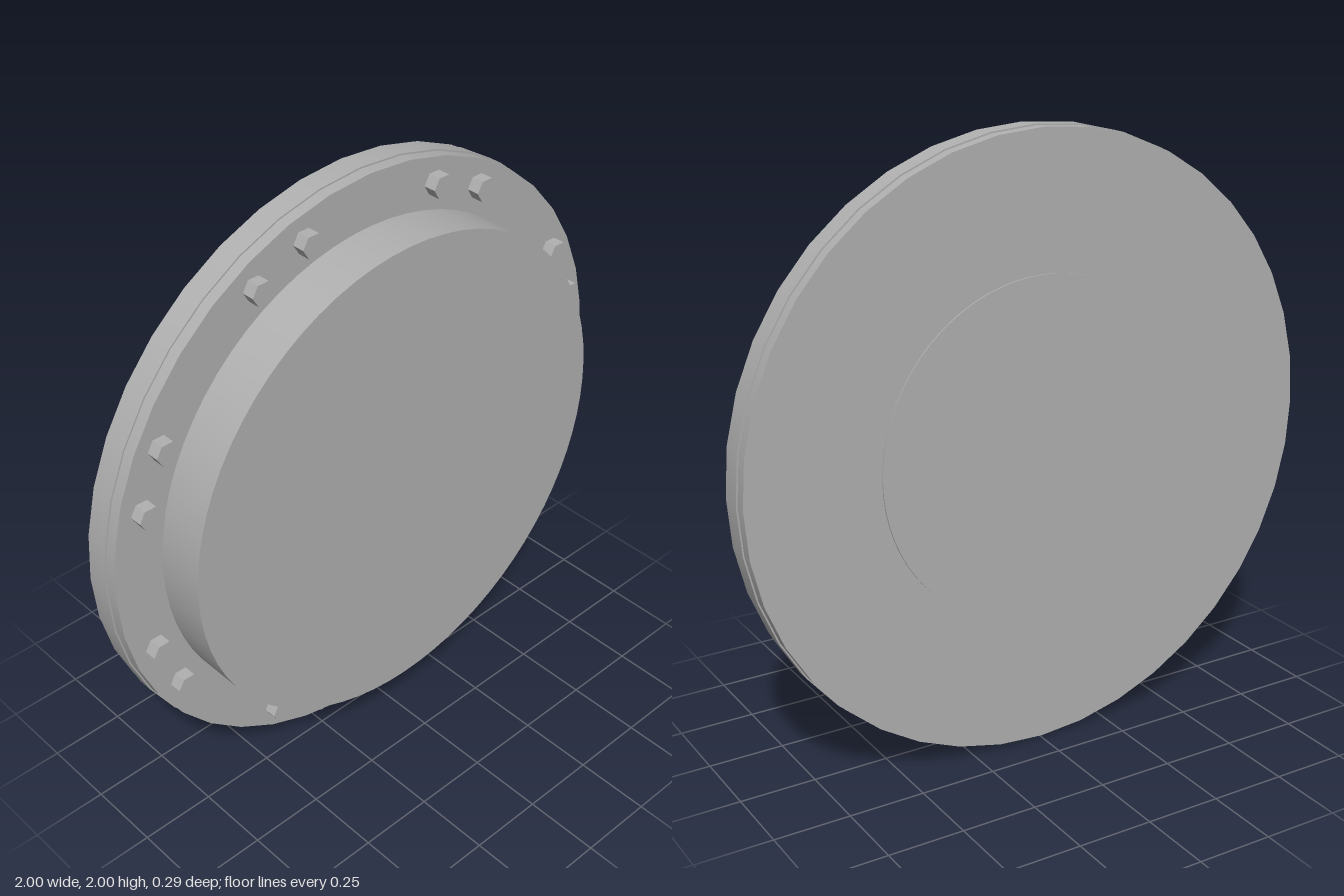
import * as THREE from 'three';

export function createModel() {
  const group = new THREE.Group();
  const grey = new THREE.MeshStandardMaterial({ color: 0xb0b0b0 });
  grey.name = 'plain grey';

  // Disc lying along z, from zBack to zFront, centred at height 1
  const disc = (name, radius, zBack, zFront, sides) => {
    const geometry = new THREE.CylinderGeometry(radius, radius, zFront - zBack, sides);
    geometry.rotateX(Math.PI / 2);
    const mesh = new THREE.Mesh(geometry, grey);
    mesh.name = name;
    mesh.position.set(0, 1, (zBack + zFront) / 2);
    group.add(mesh);
  };

  disc('flange', 0.995, -0.142, -0.017, 40);
  disc('rimBand', 1, -0.103, -0.057, 40);
  disc('frontBoss', 0.827, -0.03, 0.147, 72);
  disc('backPlate', 0.557, -0.147, -0.13, 72);

  // Hexagonal bolt heads in eight pairs around the flange
  const hex = new THREE.CylinderGeometry(0.039, 0.039, 0.044, 6, 1, false, Math.PI / 2);
  hex.rotateX(Math.PI / 2);
  const boltGeometry = hex.toNonIndexed();
  boltGeometry.computeVertexNormals();
  const bolts = new THREE.Group();
  bolts.name = 'bolts';
  for (let pair = 0; pair < 8; pair++) {
    for (const side of [-1, 1]) {
      const angle = THREE.MathUtils.degToRad(22.5 + pair * 45 + side * 6.3);
      const bolt = new THREE.Mesh(boltGeometry, grey);
      bolt.name = 'bolt';
      bolt.position.set(0.913 * Math.cos(angle), 1 + 0.913 * Math.sin(angle), 0.003);
      bolts.add(bolt);
    }
  }
  group.add(bolts);
  return group;
}
